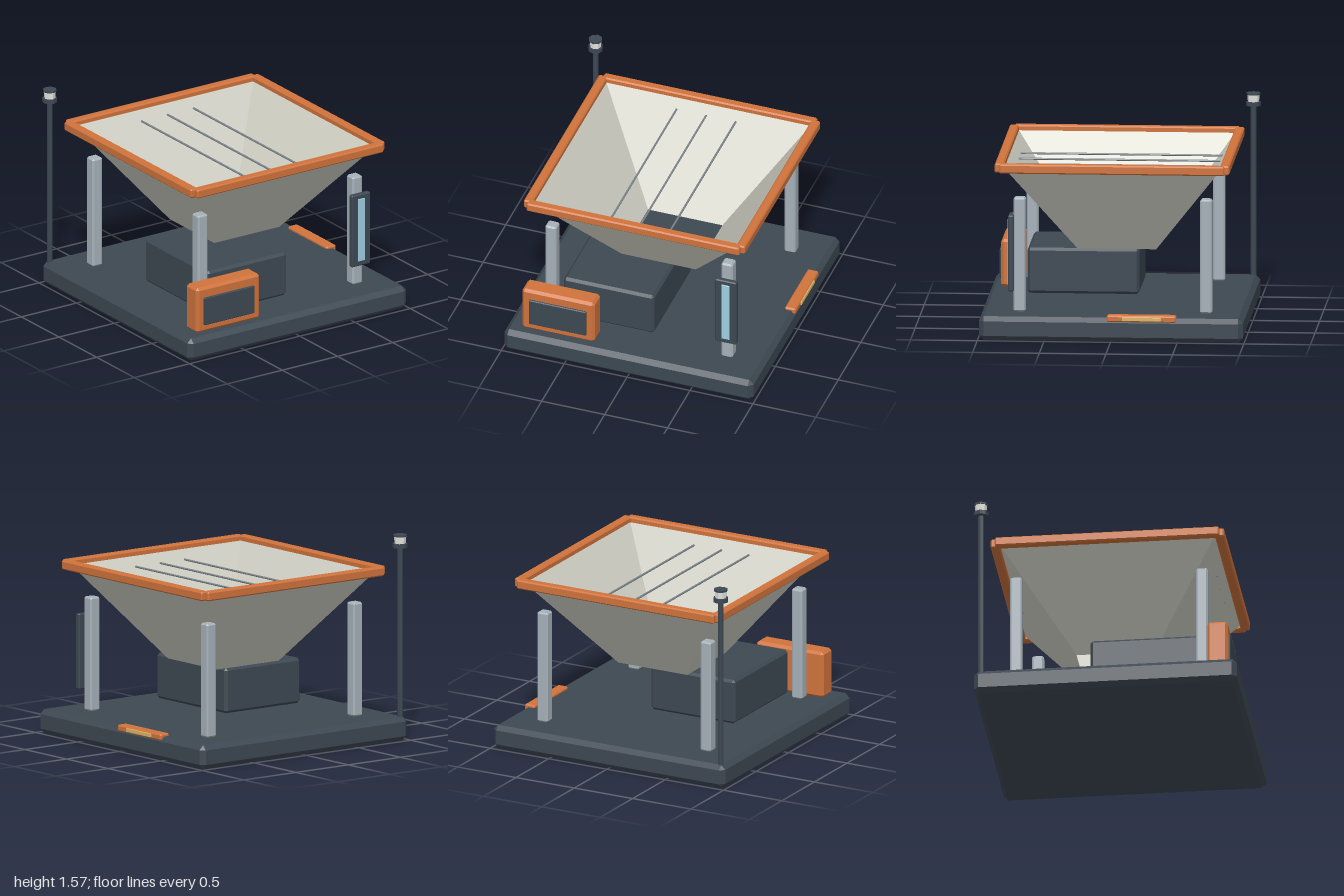
import * as THREE from 'three';
import { ConvexGeometry } from 'three/addons/geometries/ConvexGeometry.js';

const material = (color, side = THREE.FrontSide) =>
  new THREE.MeshStandardMaterial({ color, side, flatShading: true });

const dark = material(0x3d4852);
const orange = material(0xd0733c);
const steel = material(0xa6b1b9);
const rodMetal = material(0x7c858a);
const sheet = material(0xcfcfc4, THREE.DoubleSide);
const glass = material(0xe8e8e4);
const blue = material(0x9fcfe2);
const yellow = material(0xdcb568);

// Box between two corners, with every edge bevelled by c
function bevelBox(name, mat, [x0, y0, z0], [x1, y1, z1], c) {
  const h = [(x1 - x0) / 2, (y1 - y0) / 2, (z1 - z0) / 2];
  const points = [];
  for (const sx of [-1, 1]) for (const sy of [-1, 1]) for (const sz of [-1, 1])
    for (let axis = 0; axis < 3; axis++) {
      const [px, py, pz] = h.map((v, i) => (i === axis ? v : v - c));
      points.push(new THREE.Vector3(sx * px, sy * py, sz * pz));
    }
  const mesh = new THREE.Mesh(new ConvexGeometry(points), mat);
  mesh.name = name;
  mesh.position.set((x0 + x1) / 2, (y0 + y1) / 2, (z0 + z1) / 2);
  return mesh;
}

// Upright eight-sided cylinder from y0 to y1
function post(name, mat, rTop, rBottom, y0, y1) {
  const mesh = new THREE.Mesh(new THREE.CylinderGeometry(rTop, rBottom, y1 - y0, 8), mat);
  mesh.name = name;
  mesh.position.y = (y0 + y1) / 2;
  return mesh;
}

// Open square funnel made of four sloping walls
function hopper() {
  const half = [0.295, 0.81], level = [0.585, 1.28];
  const r = half.map((v) => v * Math.SQRT2);
  const geometry = new THREE.CylinderGeometry(r[1], r[0], level[1] - level[0], 4, 1, true);
  geometry.rotateY(Math.PI / 4);
  const mesh = new THREE.Mesh(geometry, sheet);
  mesh.name = 'hopper';
  mesh.position.y = (level[0] + level[1]) / 2;
  return mesh;
}

export function createModel() {
  const model = new THREE.Group();
  model.name = 'hopperMachine';

  model.add(bevelBox('base', dark, [-0.99, 0, -0.99], [0.99, 0.18, 0.99], 0.035));

  // Corner columns
  for (const x of [-0.7, 0.7]) for (const z of [-0.7, 0.7])
    model.add(bevelBox('column', steel, [x - 0.045, 0.18, z - 0.045], [x + 0.045, 1.045, z + 0.045], 0.012));

  // Hopper, its rim and the rods across it
  model.add(hopper());
  const rim = new THREE.Group();
  rim.name = 'rim';
  for (const s of [-0.845, 0.845]) {
    rim.add(bevelBox('rimRail', orange, [-0.845, 1.25, s - 0.035], [0.845, 1.32, s + 0.035], 0.01));
    rim.add(bevelBox('rimSideRail', orange, [s - 0.035, 1.25, -0.845], [s + 0.035, 1.32, 0.845], 0.01));
  }
  model.add(rim);
  for (const x of [-0.235, 0, 0.235]) {
    const rod = new THREE.Mesh(new THREE.CylinderGeometry(0.008, 0.008, 1.515, 8), rodMetal);
    rod.name = 'rod';
    rod.rotation.x = Math.PI / 2;
    rod.position.set(x, 1.21, 0);
    model.add(rod);
  }

  // Drive housing under the hopper
  model.add(bevelBox('driveHousing', dark, [-0.62, 0.205, -0.155], [0.1, 0.55, 0.685], 0.02));

  // Control box at the front
  model.add(bevelBox('controlBox', orange, [-0.87, 0.18, 0.755], [-0.295, 0.54, 0.91], 0.02));
  model.add(bevelBox('controlPanel', dark, [-0.81, 0.24, 0.89], [-0.355, 0.46, 0.925], 0.006));

  // Level gauge on the front left column
  model.add(bevelBox('gaugeHousing', dark, [0.62, 0.34, 0.74], [0.79, 0.915, 0.783], 0.008));
  model.add(bevelBox('gaugeWindow', blue, [0.673, 0.38, 0.77], [0.737, 0.88, 0.79], 0.003));

  // Latch on the left edge of the base
  model.add(bevelBox('latch', orange, [0.905, 0.15, -0.49], [0.992, 0.2, 0.03], 0.01));
  model.add(bevelBox('latchInsert', yellow, [0.97, 0.16, -0.38], [1, 0.19, -0.085], 0.003));

  // Signal lamp on its pole
  const lamp = new THREE.Group();
  lamp.name = 'signalLamp';
  lamp.position.set(-0.943, 0, -0.94);
  lamp.add(
    post('lampPole', dark, 0.022, 0.022, 0.17, 1.47),
    post('lampSocket', dark, 0.057, 0.057, 1.465, 1.497),
    post('lampGlass', glass, 0.047, 0.042, 1.497, 1.552),
    post('lampCap', dark, 0.053, 0.053, 1.55, 1.565),
  );
  model.add(lamp);

  return model;
}
